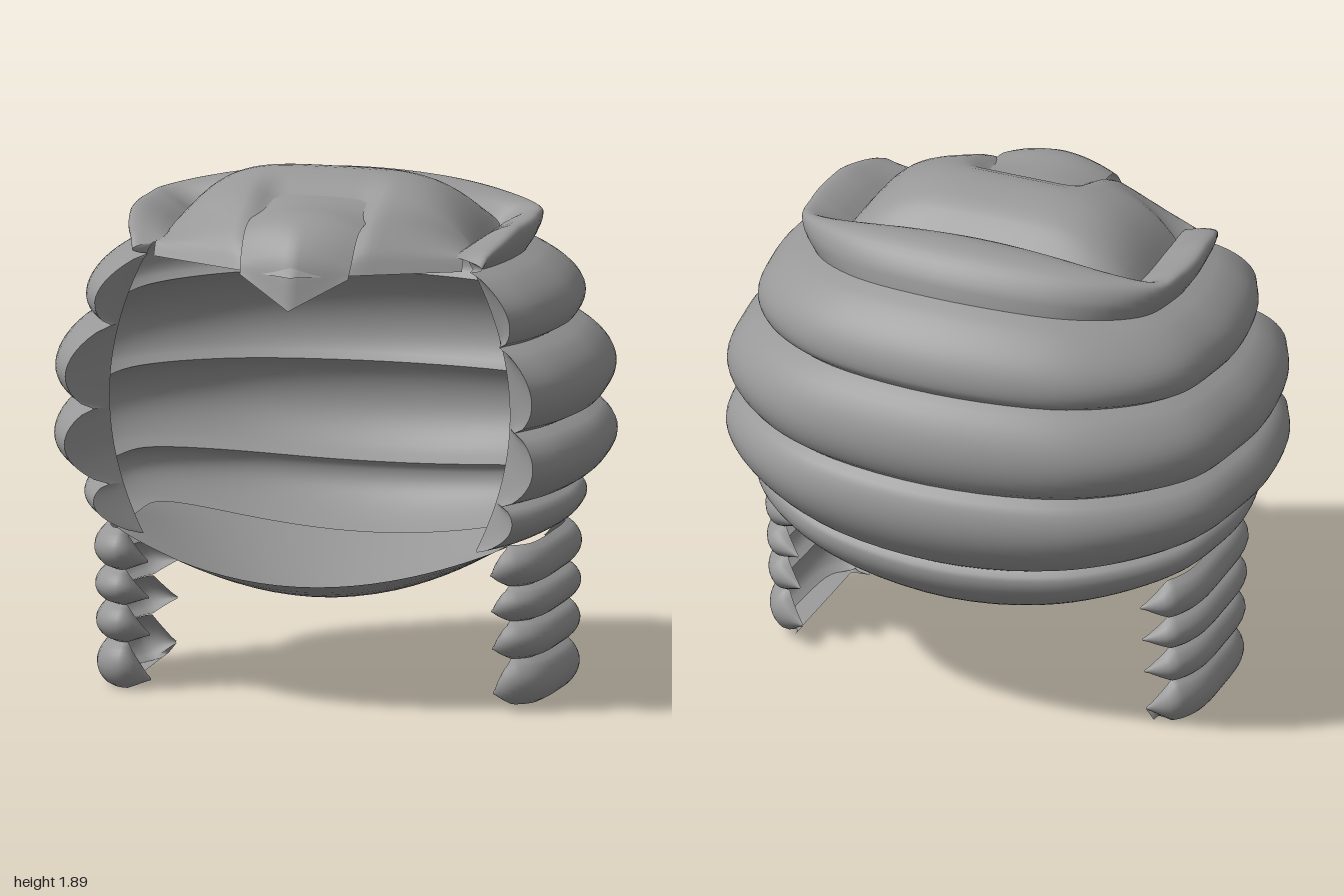
import * as THREE from 'three';

const { lerp, clamp } = THREE.MathUtils;
const material = new THREE.MeshStandardMaterial({ color: 0x989898, side: THREE.DoubleSide });

// Smooth surface patch: f(u, v) -> [x, y, z], facing along dU x dV
function patch(name, nu, nv, f) {
  const pos = [], index = [];
  for (let j = 0; j <= nv; j++) for (let i = 0; i <= nu; i++) pos.push(...f(i / nu, j / nv));
  for (let j = 0; j < nv; j++) for (let i = 0; i < nu; i++) {
    const a = j * (nu + 1) + i, b = a + nu + 1;
    index.push(a, a + 1, b, a + 1, b + 1, b);
  }
  const geo = new THREE.BufferGeometry();
  geo.setAttribute('position', new THREE.Float32BufferAttribute(pos, 3));
  geo.setIndex(index);
  geo.computeVertexNormals();
  const mesh = new THREE.Mesh(geo, material);
  mesh.name = name;
  return mesh;
}

const curve = (pts) => new THREE.CatmullRomCurve3(pts.map(([x, z]) => new THREE.Vector3(x, 0, z)), false, 'centripetal');

// Horseshoe plans around the head, from the left front round the back to the right front
function horseshoe(half) {
  return curve([...half, ...half.slice(0, -1).reverse().map(([x, z]) => [-x, z])]);
}
const roundPlan = horseshoe([[0.87, 1], [0.95, 0.7], [1, 0.2], [0.99, -0.1], [0.93, -0.45], [0.75, -0.72], [0.48, -0.91], [0, -1]]);
const squarePlan = horseshoe([[0.94, 1], [0.97, 0.66], [1, 0.2], [1, -0.2], [0.98, -0.8], [0.75, -0.92], [0.4, -0.98], [0, -1]]);

// Point on a crease line between two rolls
function creasePoint(c, t) {
  const p = (c.square ? squarePlan : roundPlan).getPoint(t);
  const front = c.front * (p.x < 0 ? 0.92 : 1);
  const drop = p.z < 0 ? 1 - p.x * p.x : 0;
  return [p.x * c.w, lerp(c.y, c.yBack, Math.max(0, drop)), p.z * (p.z > 0 ? front : c.back)];
}

const creases = [
  { y: 0.60, yBack: 0.46, w: 0.72, front: 0.46, back: 0.42 },
  { y: 0.78, yBack: 0.69, w: 0.84, front: 0.50, back: 0.60 },
  { y: 1.055, yBack: 1.04, w: 0.90, front: 0.52, back: 0.68 },
  { y: 1.36, yBack: 1.38, w: 0.83, front: 0.50, back: 0.62 },
  { y: 1.62, yBack: 1.67, w: 0.69, front: 0.45, back: 0.45 },
  { y: 1.67, yBack: 1.77, w: 0.55, front: 0.42, back: 0.16, square: true },
];
const bulges = [
  { out: 0.105, back: 0.08, front: 0.06, up: 0 },
  { out: 0.13, back: 0.095, front: 0.09, up: 0 },
  { out: 0.13, back: 0.085, front: 0.09, up: 0 },
  { out: 0.115, back: 0.085, front: 0.07, up: 0 },
  { out: 0.10, back: 0.03, front: 0.04, up: 0.10 },
];

// One puffed roll between two neighbouring creases
function rollPoint(i, t, v) {
  const a = creasePoint(creases[i], t), b = creasePoint(creases[i + 1], t);
  const p = roundPlan.getPoint(t), g = bulges[i];
  const s = Math.pow(Math.max(0, Math.sin(Math.PI * v)), 0.65);
  const taper = Math.sqrt(clamp((1 - p.z) / 0.55, 0, 1));
  return [
    lerp(a[0], b[0], v) + p.x * g.out * s,
    lerp(a[1], b[1], v) + g.up * s * taper,
    lerp(a[2], b[2], v) + p.z * (p.z > 0 ? g.front : g.back) * s,
  ];
}

// Edge of the face opening at height y
const openingX = (y) => 0.74 - 0.5 * (y - 1.1) ** 2;

function headRolls() {
  const group = new THREE.Group();
  group.name = 'headRolls';
  bulges.forEach((g, i) => {
    group.add(patch('roll', 64, 14, (u, v) => rollPoint(i, u, v)));
    // closing faces between each roll's front end and the face opening
    for (const side of [1, -1]) {
      group.add(patch('rollEnd', 4, 14, (u, v) => {
        const k = side > 0 ? u : 1 - u;
        const p = rollPoint(i, side > 0 ? 0 : 1, v);
        return [lerp(side * Math.min(openingX(p[1]), Math.abs(p[0])), p[0], k), p[1], lerp(0.42, p[2], k)];
      }));
    }
  });
  return group;
}

// Sagging underside that closes the shell and forms the lower lip of the opening
function underside() {
  return patch('underside', 32, 16, (u, v) => {
    const a = (u - 0.5) * Math.PI, x = Math.sin(a), c = 1 - x * x;
    const z = lerp(-0.42 * Math.pow(Math.max(0, Math.cos(a)), 0.8), 0.4 + 0.2 * c, v);
    const middle = 0.47 - 0.11 * Math.pow(Math.sin(Math.PI * Math.pow(v, 1.1)), 0.8);
    return [0.72 * x, lerp(0.61, middle, c), z];
  });
}

// Front-to-back profile sampled at v, points are [z, y]
const profile = (pts, v) => curve(pts).getPoint(v);

// Rounded crown, dipping in the middle to receive the forelock
function crown() {
  return patch('crown', 40, 24, (u, v) => {
    const x = 0.57 * (1 - 2 * u), k = Math.abs(x) / 0.57;
    const edge = lerp(0.72, 0.45, k);
    const p = profile([[-0.18, 1.77], [-0.08, 1.86], [0.08, 1.9], [0.27, 1.86], [edge - 0.17, 1.79], [edge - 0.05, 1.7], [edge, 1.62]], v);
    const z = p.x, floor = Math.min(p.z, 1.67);
    const dip = 0.05 * clamp((z - 0.15) / 0.12, 0, 1) * clamp((0.24 - Math.abs(x)) / 0.08, 0, 1) * clamp((1 - v) * 4, 0, 1);
    return [x, floor + (p.z - floor) * (1 - k ** 4) - dip, z];
  });
}

// Central forelock curling forward to a point
function forelock() {
  return patch('forelock', 16, 20, (u, v) => {
    const k = Math.abs(1 - 2 * u);
    const p = profile([[0.2, 1.83], [0.36, 1.82], [0.53, 1.805], [lerp(0.67, 0.62, k), 1.69], [lerp(0.73, 0.645, k), lerp(1.5, 1.61, k)]], v);
    return [(1 - 2 * u) * lerp(0.22, 0.2, v), p.z - 0.05 * k * k * Math.sin(Math.PI * v), p.x];
  });
}

// Hanging side curl: stacked C-shaped rolls with pointed ends
function sideCurl(name) {
  const group = new THREE.Group();
  group.name = name;
  const plan = curve([[0.65, 0.31], [0.73, 0.35], [0.79, 0.31], [0.815, 0.1], [0.81, -0.06], [0.77, -0.14], [0.69, -0.2]]);
  const levels = [0.03, 0.2, 0.34, 0.47, 0.62];
  const taperAt = (u) => clamp(Math.min(u, 1 - u) / 0.16, 0.05, 1);
  const tipAt = (u) => (u < 0.5 ? 0.15 : 0.35);
  for (let i = 0; i < 4; i++) {
    const grow = 1 + 0.06 * i;
    group.add(patch('curlRoll', 32, 12, (u, v) => {
      const p = plan.getPoint(u), d = plan.getTangent(u), taper = taperAt(u);
      const s = 0.06 * Math.pow(Math.max(0, Math.sin(Math.PI * v)), 0.6) * taper;
      const y = lerp(levels[i], levels[i + 1], lerp(tipAt(u), v, taper));
      return [p.x - d.z * s, y, 0.1 + (p.z + d.x * s - 0.1) * grow];
    }));
  }
  // rounded lower closing face
  group.add(patch('curlBase', 32, 4, (u, v) => {
    const p = plan.getPoint(u);
    const rim = lerp(levels[0], levels[1], tipAt(u) * (1 - taperAt(u)));
    return [lerp(0.72, p.x, v), lerp(0.05, rim, v), p.z];
  }));
  return group;
}

export function createModel() {
  const model = new THREE.Group();
  model.name = 'wig';
  model.add(headRolls(), underside(), crown(), forelock());
  model.add(sideCurl('leftSideCurl'));
  const right = sideCurl('rightSideCurl');
  right.scale.x = -0.97;
  right.position.set(0, -0.025, -0.05);
  model.add(right);
  return model;
}
